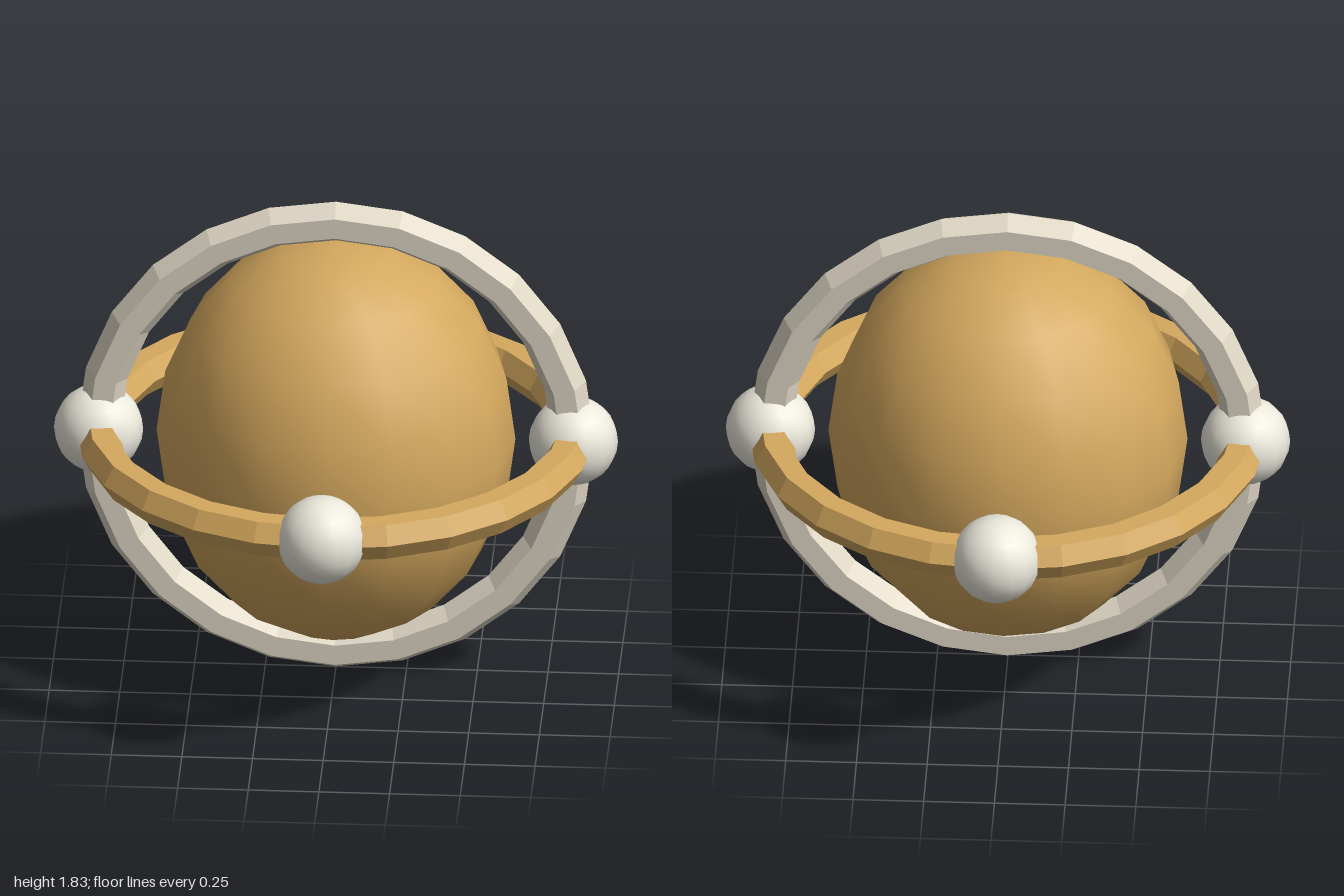
import * as THREE from 'three';

const CENTRE_Y = 0.917;
const RING_RADIUS = 0.84;
const GOLD = 0xd4a85e;
const IVORY = 0xe0d8c6;
const PEARL = 0xebe8dc;

function addMesh(parent, name, geometry, color, flatShading = false) {
  const mesh = new THREE.Mesh(geometry, new THREE.MeshStandardMaterial({ color, flatShading }));
  mesh.name = name;
  parent.add(mesh);
  return mesh;
}

export function createModel() {
  const model = new THREE.Group();
  model.name = 'ringedOrb';

  const body = new THREE.Group();
  body.name = 'body';
  body.position.y = CENTRE_Y;
  model.add(body);

  // Egg-shaped core, taller than wide
  const coreGeometry = new THREE.SphereGeometry(1, 16, 10).scale(0.635, 0.752, 0.635);
  coreGeometry.computeVertexNormals();
  // Keep the smooth seam: use the exact ellipsoid normals
  const p = coreGeometry.attributes.position;
  const n = new THREE.Vector3();
  for (let i = 0; i < p.count; i++) {
    n.set(p.getX(i) / 0.635 ** 2, p.getY(i) / 0.752 ** 2, p.getZ(i) / 0.635 ** 2).normalize();
    coreGeometry.attributes.normal.setXYZ(i, n.x, n.y, n.z);
  }
  addMesh(body, 'core', coreGeometry, GOLD);

  // Two crossing rings with a hexagonal section
  const ringGeometry = new THREE.TorusGeometry(RING_RADIUS, 0.076, 6, 24);
  addMesh(body, 'verticalRing', ringGeometry, IVORY, true);
  addMesh(body, 'horizontalRing', ringGeometry, GOLD, true).rotation.x = Math.PI / 2;

  // Four balls spaced around the horizontal ring
  const ballGeometry = new THREE.SphereGeometry(0.158, 16, 12);
  ['leftBall', 'frontBall', 'rightBall', 'backBall'].forEach((name, i) => {
    const angle = (i * Math.PI) / 2;
    addMesh(body, name, ballGeometry, PEARL)
      .position.set(Math.cos(angle) * RING_RADIUS, 0, Math.sin(angle) * RING_RADIUS);
  });

  return model;
}
